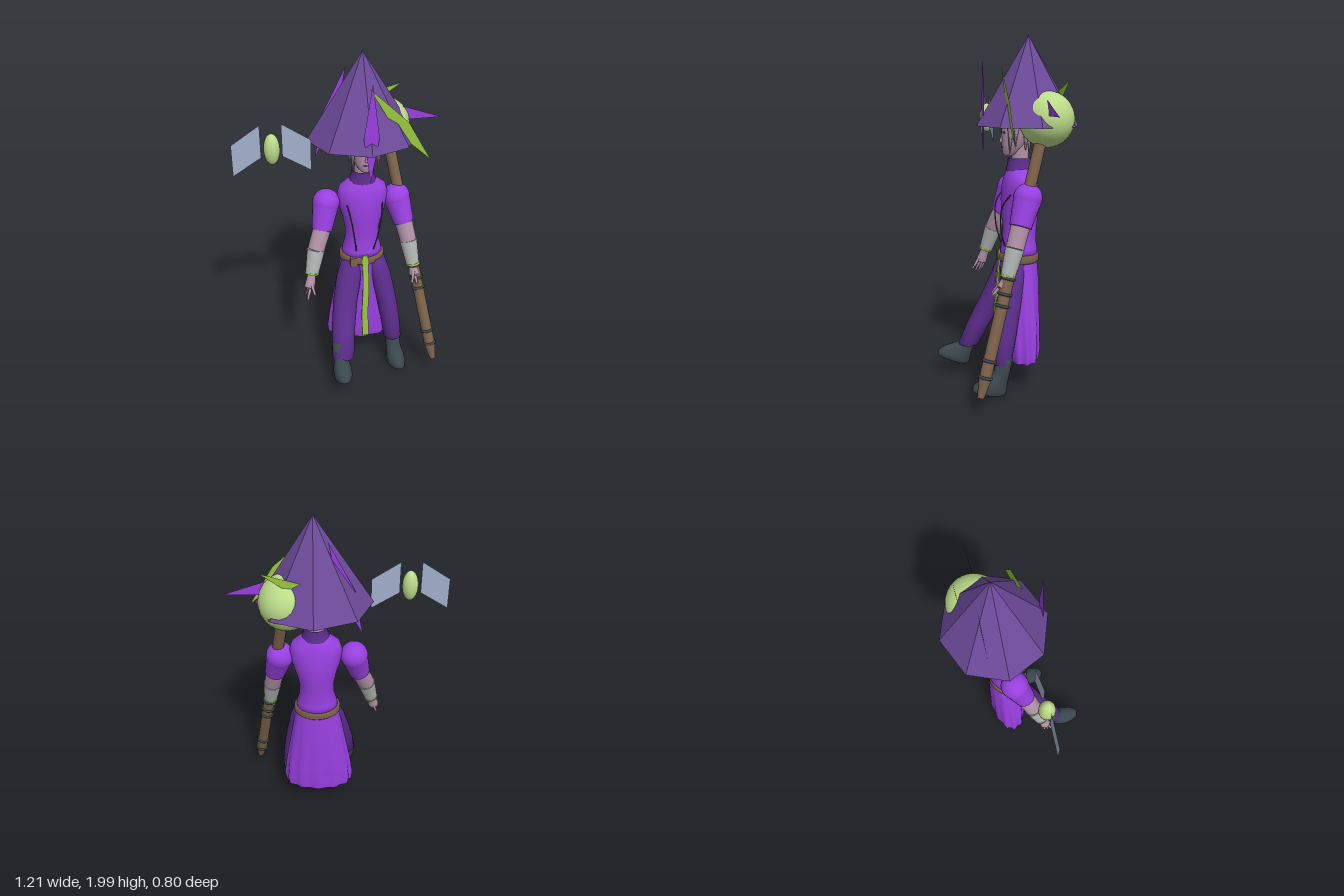
import * as THREE from 'three';

const mat = (name, color, opts = {}) => Object.assign(new THREE.MeshStandardMaterial({ color, ...opts }), { name });
const DS = { side: THREE.DoubleSide };
const purple = mat('purple cloth', 0x9840e0, DS);
const dark = mat('dark purple cloth', 0x5c2d8c, DS);
const hatMat = mat('hat violet', 0x6c4a98, { flatShading: true });
const pale = mat('pale green', 0xbcdc8a);
const lime = mat('lime green', 0x98c83c, DS);
const black = mat('dark leather', 0x3a474c);
const brown = mat('brown wood', 0x7d624a);
const grey = mat('grey cuff', 0xb0b5b3);
const skin = mat('skin', 0xb090a6);
const wingMat = mat('pale blue', 0xa2b0cc, DS);

const V = (a) => new THREE.Vector3(...a);
const CX = 0.125; // body axis

export function createModel() {
  const root = new THREE.Group();
  root.name = 'wanderer';

  const add = (name, geo, material, pos = [0, 0, 0], parent = root) => {
    const m = new THREE.Mesh(geo, material);
    m.name = name;
    m.position.set(...pos);
    parent.add(m);
    return m;
  };

  // Smooth surface through horizontal ellipses [x, y, z, rx, rz], listed top to bottom
  const loft = (sections, { n = 24, cap = true, ripple = () => 1 } = {}) => {
    const s = sections.slice();
    if (cap) {
      const end = ([x, y, z]) => [x, y, z, 0.0005, 0.0005];
      s.unshift(end(s[0]));
      s.push(end(s[s.length - 1]));
    }
    const pos = [], idx = [];
    s.forEach(([x, y, z, rx, rz], i) => {
      for (let j = 0; j < n; j++) {
        const a = (j / n) * Math.PI * 2, k = ripple(a, i / (s.length - 1));
        pos.push(x + rx * k * Math.sin(a), y, z + rz * k * Math.cos(a));
        if (i < s.length - 1) {
          const p = i * n + j, q = i * n + (j + 1) % n;
          idx.push(p, p + n, q + n, p, q + n, q);
        }
      }
    });
    const g = new THREE.BufferGeometry();
    g.setAttribute('position', new THREE.Float32BufferAttribute(pos, 3));
    g.setIndex(idx);
    g.computeVertexNormals();
    return g;
  };

  // Tapered rod from a to b
  const rod = (name, a, b, ra, rb, material, sides = 12) => {
    const A = V(a), B = V(b), d = B.clone().sub(A);
    const m = add(name, new THREE.CylinderGeometry(rb, ra, d.length(), sides), material,
      A.clone().add(B).multiplyScalar(0.5).toArray());
    m.quaternion.setFromUnitVectors(new THREE.Vector3(0, 1, 0), d.normalize());
    return m;
  };

  // Flat polygon in an x-y plane
  const plate = (name, pts, z, material) =>
    add(name, new THREE.ShapeGeometry(new THREE.Shape(pts.map((p) => new THREE.Vector2(...p)))), material, [0, 0, z]);

  // Hat
  const hat = add('hat', new THREE.ConeGeometry(1, 0.49, 8), hatMat, [CX, 1.755, -0.115]);
  hat.scale.set(0.315, 1, 0.293);

  // Floating shards: long flat diamonds
  [
    [[0.125, 1.9], [0.125, 1.34], 0.14, purple],
    [[0.13, 1.84], [0.49, 1.405], 0.04, lime],
    [[0.08, 1.66], [0.605, 1.575], -0.155, purple],
    [[-0.08, 1.53], [0.395, 1.757], -0.27, lime],
    [[0.05, 1.89], [-0.13, 1.36], -0.2, purple],
  ].forEach(([a, b, z, m]) => {
    const dx = b[0] - a[0], dy = b[1] - a[1], l = Math.hypot(dx, dy), w = 0.043;
    const mx = a[0] + dx * 0.53, my = a[1] + dy * 0.53;
    plate('shard', [a, [mx + (dy / l) * w, my - (dx / l) * w], b, [mx - (dy / l) * w, my + (dx / l) * w]], z, m);
  });

  // Floating winged charm
  add('charmBody', new THREE.SphereGeometry(0.044, 24, 16), pale, [-0.393, 1.532, 0.02]).scale.y = 2;
  plate('charmWingRight', [[-0.608, 1.57], [-0.452, 1.673], [-0.452, 1.487], [-0.608, 1.39]], 0.02, wingMat);
  plate('charmWingLeft', [[-0.338, 1.673], [-0.182, 1.57], [-0.182, 1.39], [-0.338, 1.487]], 0.02, wingMat);

  // Staff with bands and orb
  const at = (y) => [0.53 - 0.177 * (y - 0.11), y, 0.235 - 0.285 * (y - 0.11)];
  add('staffOrb', new THREE.SphereGeometry(0.152, 32, 24), pale, [0.266, 1.55, -0.183]);
  rod('staffShaft', at(0.2), at(1.5), 0.034, 0.033, brown);
  rod('staffTip', at(0.11), at(0.2), 0.019, 0.034, brown);
  const axis = V(at(1)).sub(V(at(0))).normalize();
  [0.72, 0.64, 0.58, 0.3, 0.215].forEach((y) =>
    add('staffBand', new THREE.TorusGeometry(0.034, 0.008, 8, 20), black, at(y))
      .quaternion.setFromUnitVectors(new THREE.Vector3(0, 0, 1), axis));

  // Head, nose, ears and hair
  add('head', loft([
    [CX, 1.6, -0.05, 0.05, 0.06], [CX, 1.53, -0.05, 0.074, 0.085], [CX, 1.46, -0.045, 0.072, 0.08],
    [CX, 1.4, -0.03, 0.06, 0.065], [CX, 1.36, -0.015, 0.04, 0.045], [CX, 1.343, -0.005, 0.02, 0.025],
  ]), skin);
  add('neck', new THREE.CylinderGeometry(0.045, 0.05, 0.14, 16), skin, [CX, 1.37, -0.07]);
  add('nose', new THREE.ConeGeometry(0.013, 0.05, 6), skin, [CX, 1.445, 0.037]);
  add('mouth', new THREE.BoxGeometry(0.035, 0.006, 0.006), dark, [CX, 1.393, 0.033]);
  for (const s of [-1, 1]) {
    add('eye', new THREE.BoxGeometry(0.024, 0.009, 0.008), black, [CX + s * 0.029, 1.475, 0.029]);
    rod('hairLock', [CX + s * 0.075, 1.53, 0], [CX + s * 0.072, 1.355, 0.005], 0.02, 0.002, skin, 6);
    rod('hairLock', [CX + s * 0.082, 1.53, -0.03], [CX + s * 0.088, 1.4, -0.025], 0.02, 0.002, skin, 6);
  }
  for (let i = -2; i <= 2; i++)
    rod('backHair', [CX + i * 0.03, 1.52, -0.12 + i * i * 0.008], [CX + i * 0.028, 1.38, -0.125 + i * i * 0.009], 0.026, 0.004, skin, 6);

  // Torso and collar
  add('torso', loft([
    [CX, 1.29, -0.07, 0.06, 0.06], [CX, 1.262, -0.07, 0.09, 0.073], [CX, 1.23, -0.07, 0.135, 0.088],
    [CX, 1.18, -0.07, 0.15, 0.1], [CX, 1.1, -0.07, 0.138, 0.107], [CX, 1.02, -0.07, 0.115, 0.105],
    [CX, 0.94, -0.068, 0.1, 0.098], [CX, 0.87, -0.066, 0.103, 0.096], [CX, 0.82, -0.065, 0.117, 0.103],
    [CX, 0.77, -0.063, 0.125, 0.108],
  ], { n: 32 }), purple);
  add('collar', loft([
    [CX, 1.332, -0.068, 0.066, 0.066], [CX, 1.3, -0.068, 0.067, 0.068], [CX, 1.262, -0.068, 0.082, 0.078],
  ], { cap: false }), dark);
  for (const s of [-1, 1])
    add('chestCord', new THREE.TubeGeometry(new THREE.CatmullRomCurve3([
      V([CX + s * 0.105, 1.14, 0.005]), V([CX + s * 0.09, 1.07, 0.05]),
      V([CX + s * 0.07, 0.95, 0.055]), V([CX + s * 0.052, 0.84, 0.03])]), 20, 0.004, 6), black);

  // Belt, buckle and sash
  add('belt', loft([
    [CX, 0.792, -0.062, 0.126, 0.107], [CX, 0.785, -0.062, 0.136, 0.114],
    [CX, 0.752, -0.062, 0.137, 0.115], [CX, 0.744, -0.062, 0.127, 0.108],
  ], { n: 32 }), brown);
  add('buckle', new THREE.BoxGeometry(0.04, 0.055, 0.015), brown, [0.055, 0.768, 0.04]);
  const sash = add('sash', new THREE.BoxGeometry(0.043, 0.58, 0.009, 1, 8, 1), lime, [CX, 0.52, 0.068]);
  const sp = sash.geometry.attributes.position;
  for (let i = 0; i < sp.count; i++) {
    const y = sp.getY(i);
    sp.setX(i, sp.getX(i) * (0.88 - y * 0.25) + Math.sin(y * 16) * 0.003);
    sp.setZ(i, sp.getZ(i) - y * 0.05 + Math.cos(y * 12) * 0.005);
  }
  sash.geometry.computeVertexNormals();

  // Pleated skirt, open at the hem
  add('skirt', loft([
    [CX, 0.77, -0.063, 0.12, 0.105], [CX, 0.65, -0.068, 0.145, 0.108], [CX, 0.5, -0.07, 0.17, 0.108],
    [CX, 0.35, -0.07, 0.195, 0.108], [CX, 0.23, -0.07, 0.208, 0.108], [CX, 0.18, -0.07, 0.2, 0.1],
  ], { n: 72, cap: false, ripple: (a, t) => 1 + 0.045 * t * Math.cos(a * 12) }), purple);

  // Trouser legs
  add('rightLeg', loft([
    [0.065, 0.765, -0.03, 0.06, 0.07], [0.035, 0.65, 0.0, 0.075, 0.075], [0.0, 0.5, 0.06, 0.074, 0.075],
    [-0.025, 0.35, 0.135, 0.071, 0.07], [-0.04, 0.2, 0.205, 0.068, 0.062],
  ]), dark);
  add('leftLeg', loft([
    [0.195, 0.765, -0.03, 0.06, 0.07], [0.228, 0.65, -0.005, 0.066, 0.07], [0.262, 0.5, 0.025, 0.062, 0.068],
    [0.288, 0.35, 0.05, 0.06, 0.062], [0.304, 0.2, 0.07, 0.055, 0.052],
  ]), dark);

  // Boots
  const bootGeo = loft([
    [0, 0.22, 0, 0.048, 0.045], [0, 0.13, 0, 0.045, 0.045], [0, 0.095, 0.015, 0.048, 0.06],
    [0, 0.065, 0.038, 0.054, 0.083], [0, 0.03, 0.05, 0.057, 0.1], [0, 0.005, 0.05, 0.052, 0.097], [0, 0, 0.05, 0.045, 0.09],
  ]);
  add('rightBoot', bootGeo, black, [-0.055, 0.08, 0.255]).rotation.set(-0.36, -0.05, 0);
  add('leftBoot', bootGeo, black, [0.31, 0.02, 0.1]).rotation.set(-0.2, 0.08, 0);

  // Arms: shoulder, elbow, cuff top, wrist, finger tips
  const arm = (side, sh, el, cu, wr, tip) => {
    const s = side === 'left' ? 1 : -1;
    add(side + 'Shoulder', new THREE.SphereGeometry(0.08, 24, 16), purple, sh);
    rod(side + 'Sleeve', sh, el, 0.079, 0.06, purple, 24);
    rod(side + 'Forearm', el, cu, 0.053, 0.05, skin, 20);
    rod(side + 'Cuff', cu, wr, 0.053, 0.04, grey, 20);
    const end = V(wr).lerp(V(cu), -0.07).toArray();
    rod(side + 'CuffTrim', wr, end, 0.042, 0.042, lime, 20);
    const palm = V(end).lerp(V(tip), 0.5).toArray();
    rod(side + 'Palm', end, palm, 0.024, 0.032, skin, 12);
    for (let i = 0; i < 4; i++) {
      const o = (i - 1.5) * 0.015;
      rod(side + 'Finger', [palm[0], palm[1], palm[2] + o],
        [tip[0], tip[1] + Math.abs(o) * 0.9, tip[2] + o * 1.3], 0.01, 0.006, skin, 8);
    }
    rod(side + 'Thumb', [palm[0] - s * 0.01, palm[1] + 0.03, palm[2] + 0.01],
      [palm[0] - s * 0.025, palm[1] - 0.03, palm[2] + 0.05], 0.011, 0.007, skin, 8);
  };
  arm('right', [-0.09, 1.135, -0.065], [-0.125, 0.985, -0.015], [-0.168, 0.875, 0.025], [-0.2, 0.745, 0.065], [-0.24, 0.585, 0.115]);
  arm('left', [0.33, 1.135, -0.065], [0.368, 0.985, -0.015], [0.392, 0.875, 0.02], [0.414, 0.735, 0.062], [0.425, 0.615, 0.12]);

  return root;
}
